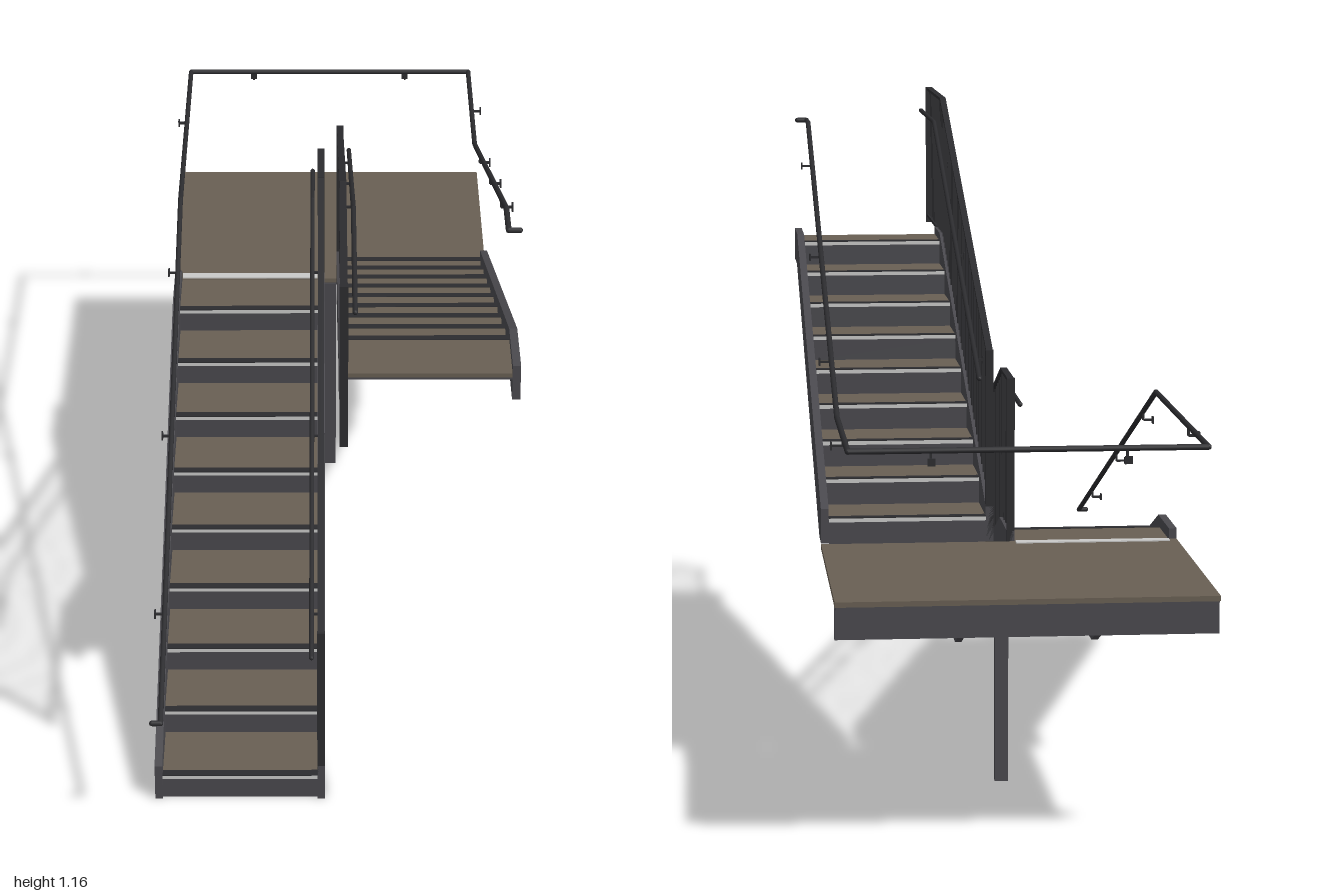
import * as THREE from 'three';
import { mergeGeometries } from 'three/addons/utils/BufferGeometryUtils.js';

const material = (name, color) => {
  const m = new THREE.MeshStandardMaterial({ color });
  m.name = name;
  return m;
};

export function createModel() {
  const steel = material('grey steel', 0x4a494e);
  const railing = material('dark railing', 0x2c2c2f);
  const floor = material('brown floor', 0x685f53);
  const nosing = material('pale nosing', 0xc9c9c8);
  const model = new THREE.Group();
  model.name = 'switchbackStair';

  const add = (name, geo, mat, parent = model) => {
    const m = new THREE.Mesh(geo, mat);
    m.name = name;
    parent.add(m);
    return m;
  };
  // box given by its limits on each axis
  const box = (x0, x1, y0, y1, z0, z1) =>
    new THREE.BoxGeometry(x1 - x0, y1 - y0, z1 - z0)
      .translate((x0 + x1) / 2, (y0 + y1) / 2, (z0 + z1) / 2);
  // square or round bar between two points
  const bar = (a, b, w, h, round) => {
    const A = new THREE.Vector3(...a), B = new THREE.Vector3(...b);
    const len = A.distanceTo(B);
    const geo = round
      ? new THREE.CylinderGeometry(w / 2, w / 2, len, 10).rotateX(Math.PI / 2)
      : new THREE.BoxGeometry(w, h, len);
    const o = new THREE.Object3D();
    o.position.copy(A).add(B).multiplyScalar(0.5);
    o.lookAt(B);
    o.updateMatrix();
    return geo.applyMatrix4(o.matrix);
  };
  // round rail along a polyline with ball joints
  const pipe = (pts, d) => {
    const parts = [];
    pts.forEach((p, i) => {
      if (i) parts.push(bar(pts[i - 1], p, d, d, true));
      parts.push(new THREE.SphereGeometry(d / 2, 10, 6).translate(...p));
    });
    return mergeGeometries(parts);
  };
  // height on a [z, y] polyline
  const heightAt = (line, z) => {
    for (let i = 1; i < line.length; i++) {
      const [z0, y0] = line[i - 1], [z1, y1] = line[i];
      if ((z - z0) * (z - z1) <= 0) return y0 + (y1 - y0) * (z - z0) / (z1 - z0);
    }
    return line[line.length - 1][1];
  };

  const RISE = 0.0483, GO = 0.1356, MID = 0.435;

  // one flight: dir is the z direction of climbing
  const flight = (name, x0, x1, z0, y0, dir, profile) => {
    const g = new THREE.Group();
    g.name = name;
    model.add(g);
    const w = 0.014;
    for (const x of [x0 + w, x1]) {
      const geo = new THREE.ExtrudeGeometry(
        new THREE.Shape(profile.map(p => new THREE.Vector2(...p))),
        { depth: w, bevelEnabled: false });
      add('stringer', geo.rotateY(-Math.PI / 2).translate(x, 0, 0), steel, g);
    }
    const a = x0 + w, b = x1 - w;
    // span measured along the climbing direction
    const span = (ya, yb, s, e) => {
      const p = z0 + dir * s, q = z0 + dir * e;
      return box(a, b, ya, yb, Math.min(p, q), Math.max(p, q));
    };
    for (let k = 0; k < 9; k++) {
      const y = y0 + RISE * (k + 1), s = GO * k, e = s + GO;
      const last = k === 8 ? 0 : 0.008;
      add('riser', span(y - RISE, y - 0.008, s + 0.001, s + 0.006), steel, g);
      add('tread', span(y - 0.008, y, s, e + last), floor, g);
      add('treadPan', span(y - 0.012, y - 0.008, s + 0.006, e), steel, g);
      add('nosingFront', span(y - 0.008, y - 0.001, s - 0.002, s), nosing, g);
      add('nosingTop', span(y - 0.001, y + 0.001, s - 0.002, s + 0.014), railing, g);
    }
  };
  flight('lowerFlight', -0.32, -0.013, 0.74, 0, -1, [
    [0.745, 0], [0.745, 0.07], [-0.34, 0.455], [-0.48, 0.455],
    [-0.48, 0.382], [-0.355, 0.382], [0.686, 0]]);
  flight('upperFlight', 0.011, 0.32, -0.48, MID, 1, [
    [0.742, 0.82], [0.742, 0.885], [0.605, 0.885], [-0.48, 0.5],
    [-0.48, 0.437], [-0.41, 0.437], [0.637, 0.82]]);

  // landing with its rear beam and column
  add('landingFloor', box(-0.32, 0.32, 0.427, 0.436, -1, -0.48), floor);
  add('landingPan', box(-0.318, 0.318, 0.422, 0.427, -0.998, -0.482), steel);
  add('landingBeam', box(-0.32, 0.32, 0.37, 0.427, -0.987, -0.972), steel);
  add('landingNosing', box(-0.305, -0.028, 0.436, 0.438, -0.503, -0.482), nosing);
  add('column', box(-0.014, 0.01, 0, 0.424, -0.5, -0.48), steel);

  // guard with top rail, end posts and balusters
  const guard = (name, x, top, base, posts) => {
    const g = new THREE.Group();
    g.name = name;
    model.add(g);
    for (let i = 1; i < top.length; i++)
      add('topRail', bar([x, top[i - 1][1], top[i - 1][0]], [x, top[i][1], top[i][0]], 0.012, 0.006), railing, g);
    for (const [z, low] of posts)
      add('post', box(x - 0.007, x + 0.007, low, heightAt(top, z) + 0.003, z - 0.005, z + 0.005), railing, g);
    const rods = [];
    const start = top[0][0], end = top[top.length - 1][0];
    for (let z = start - GO / 5; z > end + 0.01; z -= GO / 5)
      rods.push(box(x - 0.002, x + 0.002, heightAt(base, z), heightAt(top, z), z - 0.002, z + 0.002));
    add('balusters', mergeGeometries(rods), railing, g);
  };
  guard('lowerGuard', -0.02,
    [[0.742, 0.347], [-0.34, 0.728], [-0.477, 0.728]],
    [[0.745, 0.068], [-0.34, 0.453], [-0.48, 0.453]],
    [[0.74, 0.01], [-0.475, 0.4]]);
  guard('upperGuard', 0.018,
    [[0.997, 1.162], [0.605, 1.162], [-0.477, 0.778]],
    [[1, 0.885], [0.605, 0.885], [-0.48, 0.5]],
    [[0.994, 0.872], [-0.475, 0.437]]);
  add('guardBottomRail', bar([0.018, 0.886, 0.74], [0.018, 0.886, 0.997], 0.01, 0.006), railing);

  // handrails: one wraps the outer side, two run along the guards
  add('outerHandrail', pipe([
    [-0.315, 0.25, 0.875], [-0.3, 0.25, 0.875], [-0.3, 0.683, -0.34], [-0.3, 0.683, -0.98],
    [0.296, 0.683, -0.98], [0.296, 0.683, -0.605], [0.296, 1.115, 0.605],
    [0.296, 1.115, 0.69], [0.315, 1.115, 0.69]], 0.01), railing);
  add('lowerInnerHandrail', pipe([
    [-0.037, 0.298, 0.74], [-0.037, 0.683, -0.34], [-0.037, 0.683, -0.475]], 0.009), railing);
  add('upperInnerHandrail', pipe([
    [0.036, 1.115, 0.99], [0.036, 1.115, 0.605], [0.036, 0.73, -0.473]], 0.009), railing);

  // handrail brackets: short drop, arm and small plate
  const bracket = (x, y, z, dx, dz) => {
    const yb = y - 0.017, tip = [x + dx, yb, z + dz];
    add('handrailBracket', mergeGeometries([
      bar([x, y, z], [x, yb, z + 0.0001], 0.004, 0.004),
      bar([x, yb, z], tip, 0.004, 0.004),
      new THREE.BoxGeometry(dx ? 0.003 : 0.013, 0.013, dx ? 0.013 : 0.003).translate(...tip),
    ]), railing);
  };
  const lowerLine = [[0.875, 0.25], [-0.34, 0.683], [-1, 0.683]];
  const upperLine = [[1, 1.115], [0.605, 1.115], [-0.605, 0.683], [-1, 0.683]];
  for (const z of [0.63, 0.23, -0.17, -0.75]) {
    bracket(-0.3, heightAt(lowerLine, z), z, -0.018, 0);
    if (z > -0.5) bracket(-0.037, heightAt(lowerLine, z), z, 0.016, 0);
  }
  for (const z of [0.44, 0.04, -0.37, -0.81]) {
    bracket(0.296, heightAt(upperLine, z), z, 0.02, 0);
    if (z > -0.5) bracket(0.036, heightAt(upperLine, z), z, -0.016, 0);
  }
  for (const x of [-0.165, 0.16]) bracket(x, 0.683, -0.98, 0, -0.018);

  return model;
}
